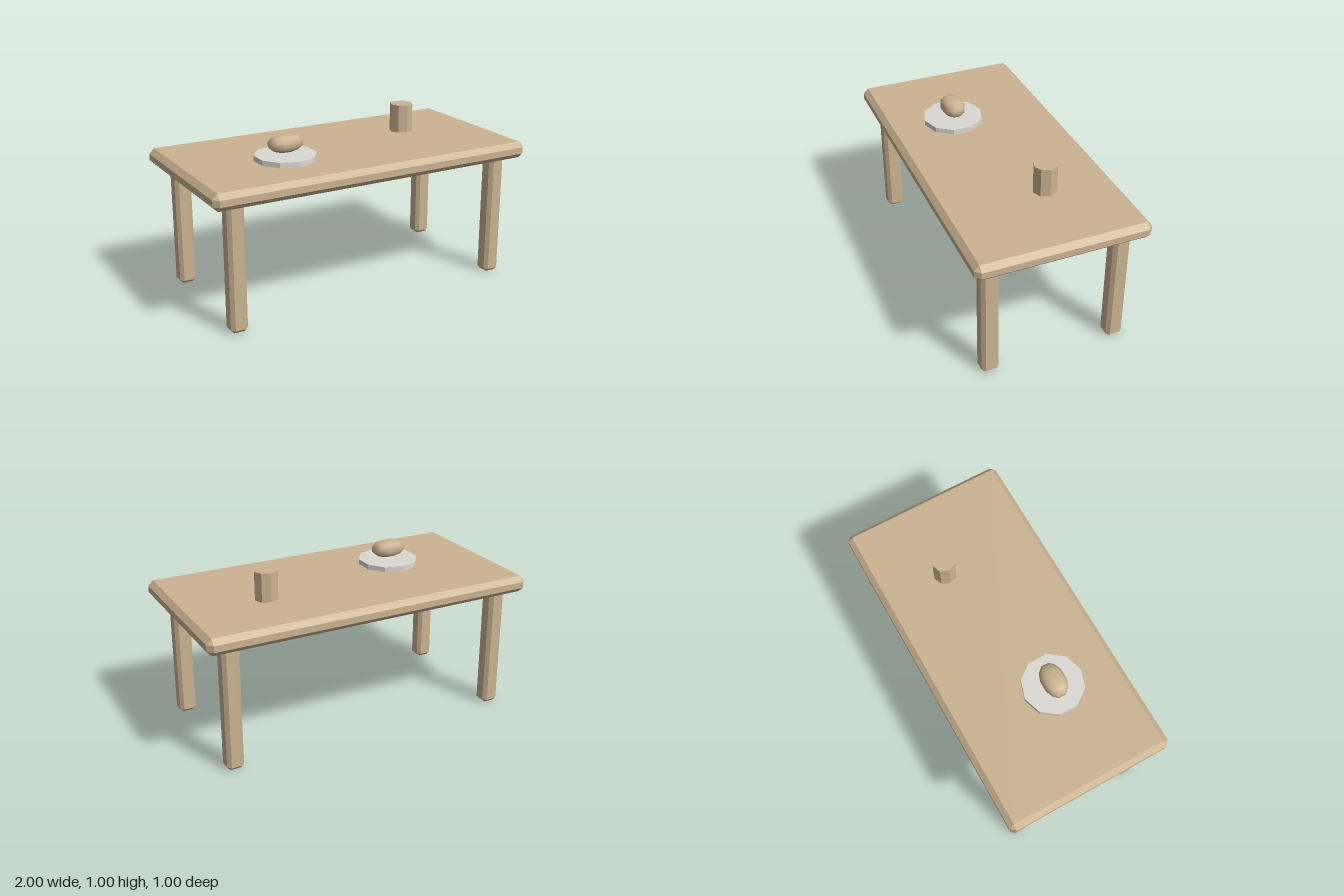
import * as THREE from 'three';
import { mergeVertices } from 'three/addons/utils/BufferGeometryUtils.js';
import { ConvexGeometry } from 'three/addons/geometries/ConvexGeometry.js';

const wood = new THREE.MeshStandardMaterial({ color: 0xcbb392 });
wood.name = 'tan wood';
const ceramic = new THREE.MeshStandardMaterial({ color: 0xdad8d2 });
ceramic.name = 'pale grey ceramic';

// Box with every edge cut by a flat bevel of size c
function bevelledBox(w, h, d, c) {
  const points = [];
  for (const sx of [-1, 1]) for (const sy of [-1, 1]) for (const sz of [-1, 1]) {
    for (let axis = 0; axis < 3; axis++) {
      const half = [w / 2, h / 2, d / 2].map((v, i) => (i === axis ? v : v - c));
      points.push(new THREE.Vector3(sx * half[0], sy * half[1], sz * half[2]));
    }
  }
  return new ConvexGeometry(points);
}

// Smooth ellipsoid made by rounding a 3 x 3 x 3 box, fitted to the given half sizes
function roundedLump(rx, ry, rz) {
  let geometry = new THREE.BoxGeometry(2, 2, 2, 3, 3, 3);
  geometry.deleteAttribute('uv');
  geometry.deleteAttribute('normal');
  geometry = mergeVertices(geometry, 1e-4);
  const pos = geometry.attributes.position;
  const v = new THREE.Vector3();
  for (let i = 0; i < pos.count; i++) {
    v.fromBufferAttribute(pos, i).normalize();
    pos.setXYZ(i, v.x, v.y, v.z);
  }
  geometry.computeBoundingBox();
  const reach = geometry.boundingBox.max.x;
  geometry.scale(rx / reach, ry / reach, rz / reach);
  geometry.computeVertexNormals();
  return geometry;
}

// Flat-sided upright prism with its base at y = 0
function prism(radius, height, sides) {
  const geometry = new THREE.CylinderGeometry(radius, radius, height, sides).toNonIndexed();
  geometry.computeVertexNormals();
  return geometry.translate(0, height / 2, 0);
}

export function createModel() {
  const model = new THREE.Group();
  model.name = 'diningTable';

  function add(name, geometry, material, x, y, z) {
    const mesh = new THREE.Mesh(geometry, material);
    mesh.name = name;
    mesh.position.set(x, y, z);
    model.add(mesh);
  }

  // Table top
  const topY = 0.83;
  add('tableTop', bevelledBox(2, 0.098, 1, 0.03), wood, 0, topY - 0.049, 0);

  // Four legs, tucked slightly into the top
  const legGeometry = bevelledBox(0.1, 0.74, 0.1, 0.02);
  for (const sx of [-1, 1]) for (const sz of [-1, 1]) {
    const name = (sz > 0 ? 'front' : 'back') + (sx > 0 ? 'Left' : 'Right') + 'Leg';
    add(name, legGeometry, wood, sx * 0.85, 0.37, sz * 0.38);
  }

  // Plate, bread and cup
  add('plate', prism(0.18, 0.03, 10), ceramic, -0.4, topY, 0.1);
  add('bread', roundedLump(0.098, 0.049, 0.065), wood, -0.4, 0.922, 0.1);
  add('cup', prism(0.07, 0.17, 8), wood, 0.5, topY, -0.1);

  return model;
}
